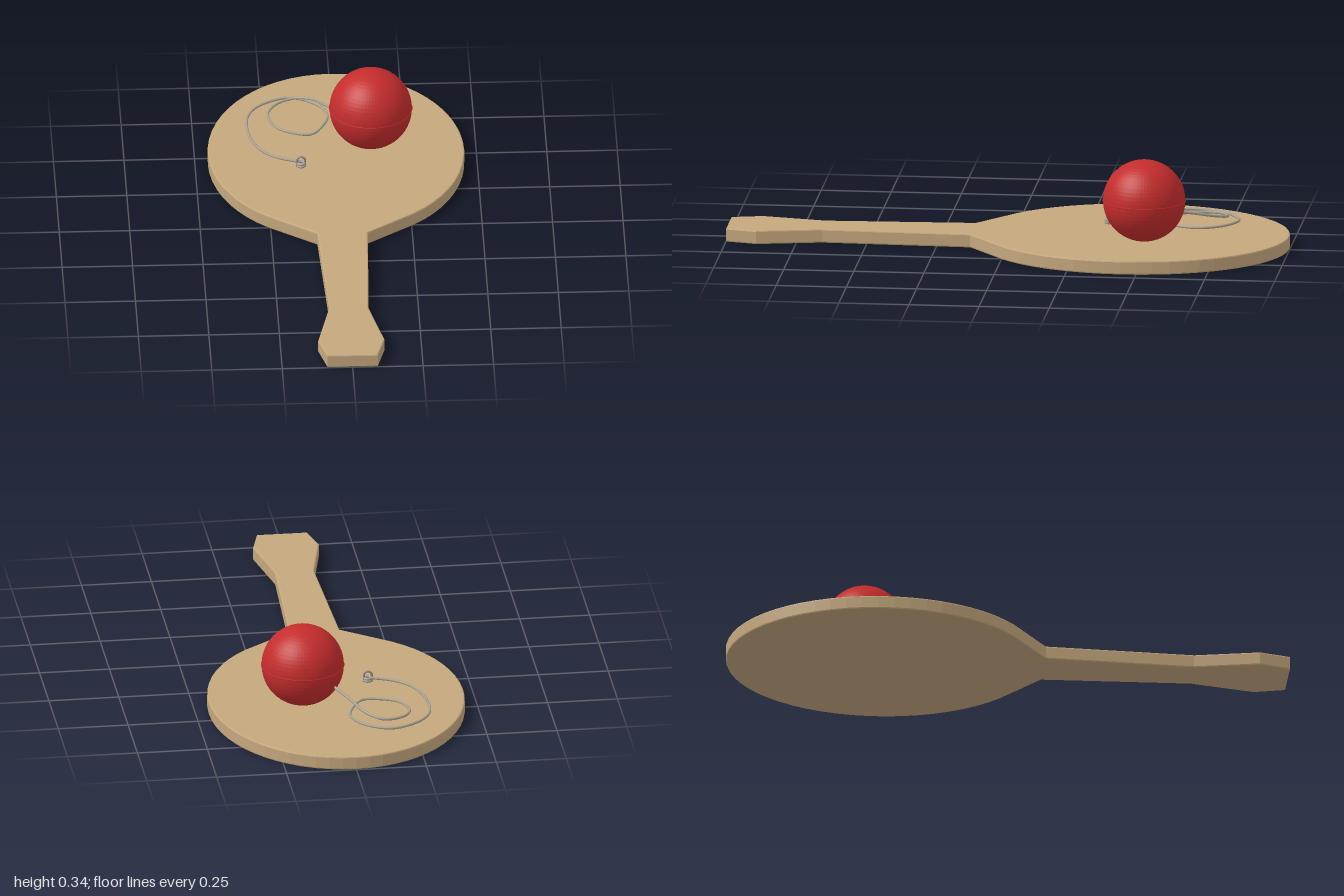
import * as THREE from 'three';

const wood = new THREE.MeshStandardMaterial({ color: 0xc4a77d });
const red = new THREE.MeshStandardMaterial({ color: 0xc42c2c });
const redFaceted = new THREE.MeshStandardMaterial({ color: 0xc42c2c, flatShading: true });
const cord = new THREE.MeshStandardMaterial({ color: 0xaaa290 });
const metal = new THREE.MeshStandardMaterial({ color: 0x8c8c8c });

function addMesh(parent, name, geometry, material, x = 0, y = 0, z = 0) {
  const mesh = new THREE.Mesh(geometry, material);
  mesh.name = name;
  mesh.position.set(x, y, z);
  parent.add(mesh);
  return mesh;
}

// Elliptical blade running into a waisted handle, drawn as the +x half and mirrored
function paddleGeometry() {
  const half = [[0.09, -1], [0.118, -0.89], [0.07, -0.66], [0.09, -0.13], [0.18, -0.062]];
  const start = -Math.asin(0.45 / 0.55);
  const steps = 24;
  for (let i = 0; i < steps; i++) {
    const a = start + (Math.PI / 2 - start) * i / steps;
    half.push([0.455 * Math.cos(a), 0.45 + 0.55 * Math.sin(a)]);
  }
  const mirrored = half.map(([x, y]) => [-x, y]).reverse();
  const outline = [...half, [0, 1], ...mirrored];
  const shape = new THREE.Shape(outline.map(([x, y]) => new THREE.Vector2(x, y)));
  const bevel = 0.005;
  const geometry = new THREE.ExtrudeGeometry(shape, {
    depth: 0.05 - 2 * bevel,
    bevelThickness: bevel, bevelSize: bevel, bevelOffset: -bevel, bevelSegments: 2,
  });
  geometry.rotateX(-Math.PI / 2);
  geometry.translate(0, bevel, 0);
  return geometry;
}

// Path from inside the ball, round a small coil, then a wide loop to the staple
function stringGeometry() {
  const points = [
    [0.06, 0.16, -0.53], [0.016, 0.136, -0.587], [-0.03, 0.117, -0.66],
    [-0.07, 0.1, -0.73], [-0.127, 0.087, -0.765], [-0.196, 0.081, -0.74],
    [-0.233, 0.076, -0.677], [-0.21, 0.073, -0.59], [-0.153, 0.07, -0.55],
    [-0.085, 0.068, -0.54], [-0.037, 0.067, -0.61], [-0.022, 0.067, -0.68],
    [-0.063, 0.067, -0.757], [-0.153, 0.067, -0.803], [-0.25, 0.067, -0.76],
    [-0.3, 0.067, -0.69], [-0.308, 0.067, -0.566], [-0.275, 0.067, -0.45],
    [-0.217, 0.067, -0.386], [-0.138, 0.067, -0.35],
  ].map((p) => new THREE.Vector3(...p));
  return new THREE.TubeGeometry(new THREE.CatmullRomCurve3(points), 180, 0.005, 8);
}

export function createModel() {
  const model = new THREE.Group();
  model.name = 'paddleBall';

  addMesh(model, 'paddle', paddleGeometry(), wood);

  // Rubber ball with a fine moulding seam
  const ball = new THREE.Group();
  ball.name = 'ball';
  ball.position.set(0.125, 0.196, -0.495);
  model.add(ball);
  addMesh(ball, 'ballBody', new THREE.SphereGeometry(0.146, 64, 32), redFaceted);
  addMesh(ball, 'ballSeam', new THREE.TorusGeometry(0.146, 0.002, 6, 64), red)
    .rotation.x = Math.PI / 2;

  addMesh(model, 'string', stringGeometry(), cord);

  // Staple arch pinning the knotted end of the string
  const anchor = new THREE.Group();
  anchor.name = 'anchor';
  anchor.position.set(-0.128, 0, -0.343);
  model.add(anchor);
  addMesh(anchor, 'stapleArch', new THREE.TorusGeometry(0.014, 0.004, 8, 16, Math.PI),
    metal, 0, 0.075, 0);
  for (const side of [-1, 1]) {
    addMesh(anchor, 'stapleLeg', new THREE.CylinderGeometry(0.004, 0.004, 0.03, 8),
      metal, side * 0.014, 0.06, 0);
  }
  for (const y of [0.055, 0.064]) {
    addMesh(anchor, 'knotCoil', new THREE.TorusGeometry(0.012, 0.005, 8, 20), cord, 0, y, 0)
      .rotation.x = Math.PI / 2;
  }

  return model;
}
